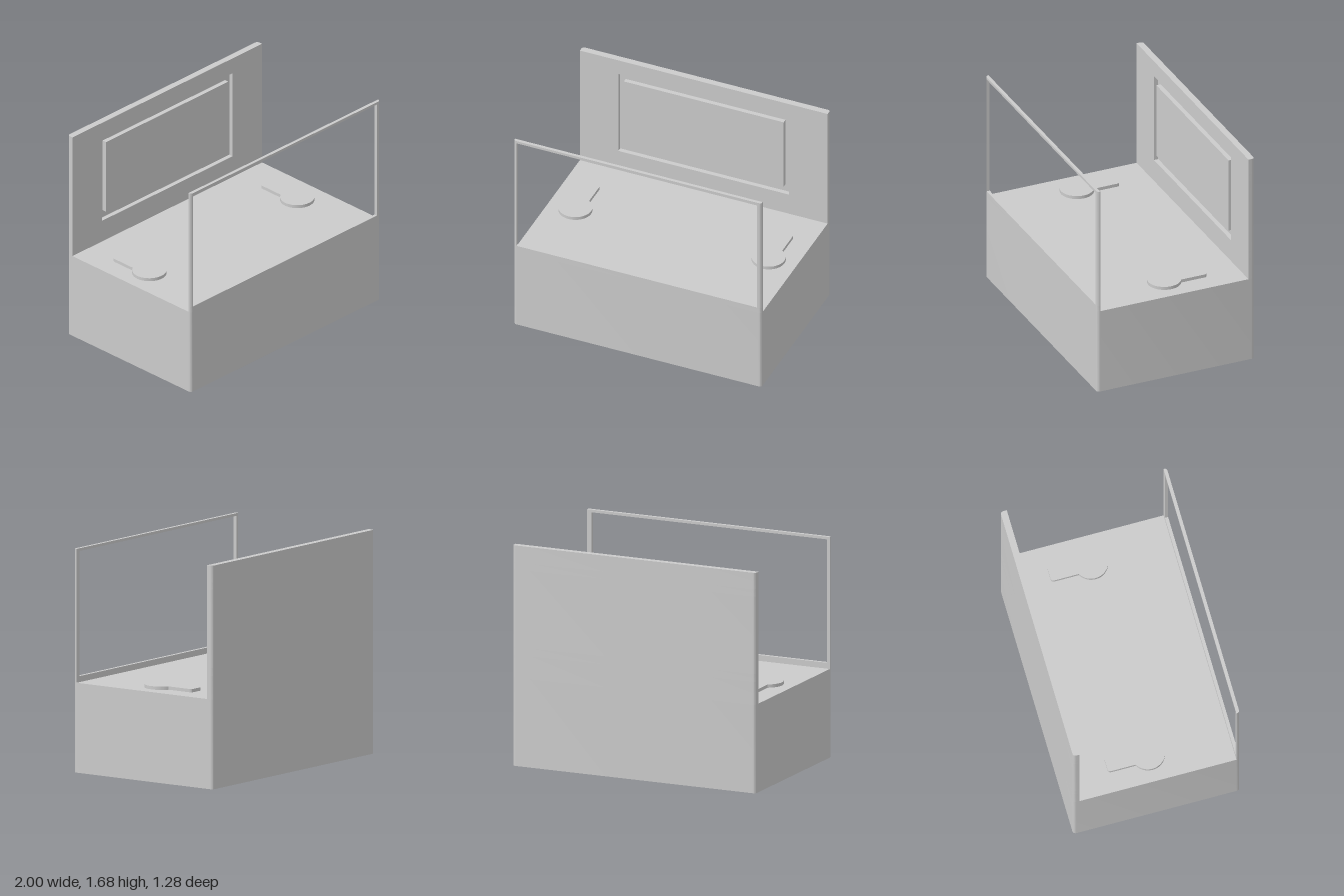
import * as THREE from 'three';
import { toCreasedNormals } from 'three/addons/utils/BufferGeometryUtils.js';

const material = new THREE.MeshStandardMaterial({ color: 0xcccccc });
const HALF_X = 1, HALF_Z = 0.64, R = 0.025;
const DECK = 0.675, TOP = 1.68;
const WALL_Z = -0.59, FRAME_Z = 0.615;

// Extrudes a plan shape (x, -z) upwards from y0 to y1.
function extrudeUp(name, shape, y0, y1, curveSegments = 8) {
  const geometry = new THREE.ExtrudeGeometry(shape, { depth: y1 - y0, bevelEnabled: false, curveSegments });
  geometry.rotateX(-Math.PI / 2);
  geometry.translate(0, y0, 0);
  const mesh = new THREE.Mesh(toCreasedNormals(geometry, 0.6), material);
  mesh.name = name;
  return mesh;
}

// Plan outline from [x, z, radius] corners; corners with a radius are rounded.
function plan(corners) {
  const shape = new THREE.Shape();
  const pts = corners.map(([x, z]) => new THREE.Vector2(x, -z));
  const n = pts.length;
  pts.forEach((p, i) => {
    const r = corners[i][2] || 0;
    const toward = (q) => p.clone().add(q.clone().sub(p).setLength(r));
    const a = toward(pts[(i + n - 1) % n]);
    const b = toward(pts[(i + 1) % n]);
    if (i === 0) shape.moveTo(a.x, a.y);
    else shape.lineTo(a.x, a.y);
    if (r) shape.quadraticCurveTo(p.x, p.y, b.x, b.y);
  });
  shape.closePath();
  return shape;
}

// Back wall plan with optional slots [x0, x1] cut into its inner face.
function wallPlan(slots) {
  const floor = WALL_Z - 0.035;
  const corners = [[HALF_X, WALL_Z], [HALF_X, -HALF_Z, R], [-HALF_X, -HALF_Z, R], [-HALF_X, WALL_Z]];
  for (const [x0, x1] of slots) corners.push([x0, WALL_Z], [x0, floor], [x1, floor], [x1, WALL_Z]);
  return plan(corners);
}

// Front frame member between x0 and x1, rounded where it meets an outer side.
function framePlan(x0, x1) {
  return plan([
    [x0, FRAME_Z], [x0, HALF_Z, x0 === -HALF_X ? 0.024 : 0],
    [x1, HALF_Z, x1 === HALF_X ? 0.024 : 0], [x1, FRAME_Z],
  ]);
}

// Keyhole-shaped raised pad: a disc with a slot running to the back.
function keyholePlan(cx) {
  const cz = 0.005, r = 0.127, w = 0.0625, end = 0.327, c = 0.025;
  const a = Math.acos(w / r);
  const shape = new THREE.Shape();
  shape.absarc(cx, cz, r, Math.PI - a, Math.PI * 2 + a, false);
  shape.lineTo(cx + w, end - c);
  shape.quadraticCurveTo(cx + w, end, cx + w - c, end);
  shape.lineTo(cx - w + c, end);
  shape.quadraticCurveTo(cx - w, end, cx - w, end - c);
  shape.closePath();
  return shape;
}

export function createModel() {
  const model = new THREE.Group();
  model.name = 'model';

  // Solid base block
  model.add(extrudeUp('base', plan([
    [HALF_X, HALF_Z, R], [HALF_X, -HALF_Z, R], [-HALF_X, -HALF_Z, R], [-HALF_X, HALF_Z, R],
  ]), 0, DECK));

  // Back wall in stacked bands, forming a rectangular groove around a flush panel
  const outer = 0.69, inner = 0.645;
  const full = [[-outer, outer]];
  const sides = [[-outer, -inner], [inner, outer]];
  const backWall = new THREE.Group();
  backWall.name = 'backWall';
  [
    ['wallBottom', DECK, 0.85, []],
    ['grooveBottom', 0.85, 0.91, full],
    ['panelBand', 0.91, 1.5, sides],
    ['grooveTop', 1.5, 1.555, full],
    ['wallTop', 1.555, TOP, []],
  ].forEach(([name, y0, y1, slots]) => backWall.add(extrudeUp(name, wallPlan(slots), y0, y1)));
  model.add(backWall);

  // Thin open front frame
  const frame = new THREE.Group();
  frame.name = 'frontFrame';
  const left = 0.963, right = -0.978, sill = 0.72, head = 1.66;
  frame.add(
    extrudeUp('bottomRail', framePlan(-HALF_X, HALF_X), DECK, sill),
    extrudeUp('leftPost', framePlan(left, HALF_X), sill, head),
    extrudeUp('rightPost', framePlan(-HALF_X, right), sill, head),
    extrudeUp('topRail', framePlan(-HALF_X, HALF_X), head, TOP),
  );
  model.add(frame);

  // Two keyhole pads on the deck
  model.add(
    extrudeUp('leftKeyholePad', keyholePlan(0.778), DECK, 0.7, 32),
    extrudeUp('rightKeyholePad', keyholePlan(-0.782), DECK, 0.7, 32),
  );
  return model;
}
